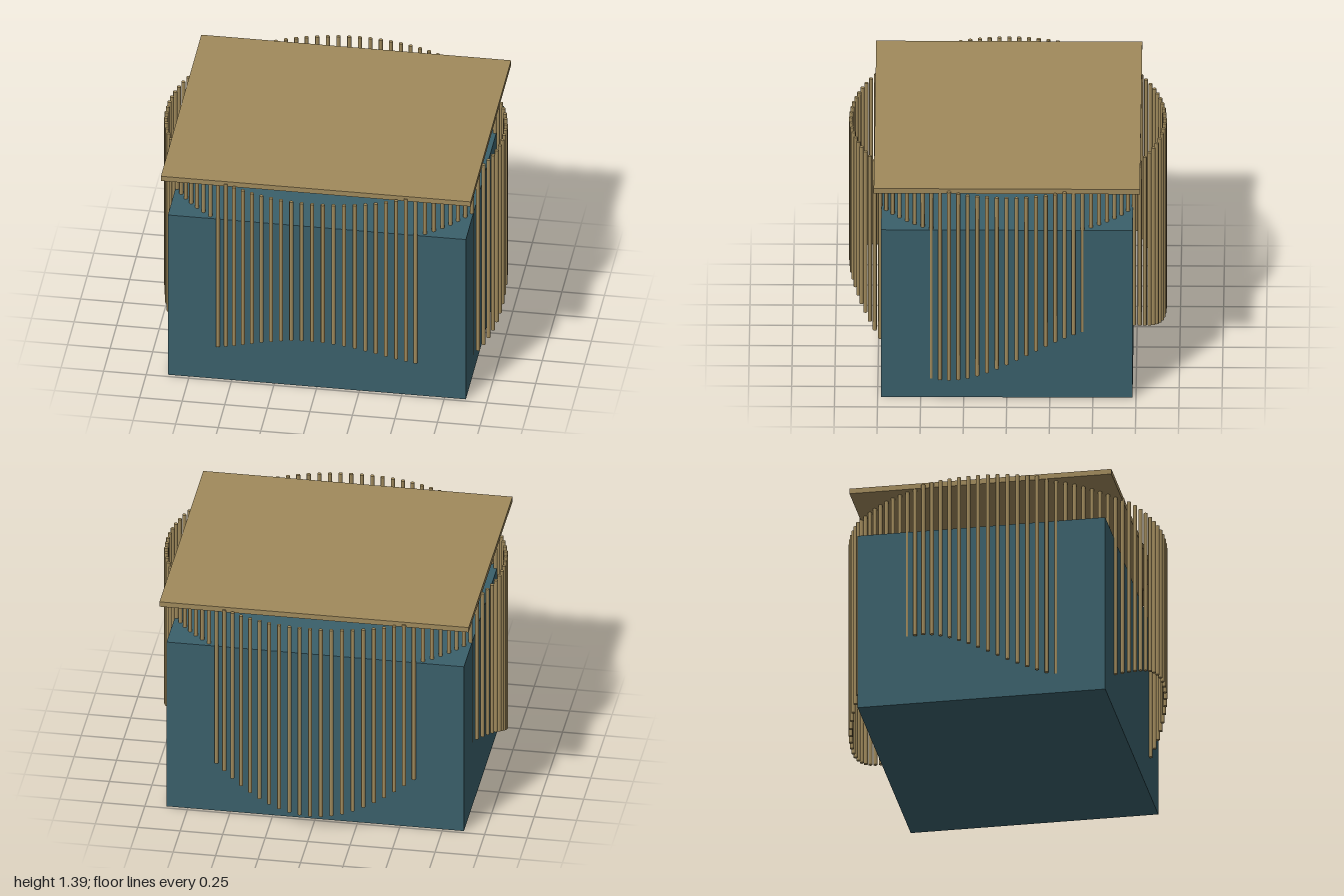
import * as THREE from 'three';

export function createModel() {
  const model = new THREE.Group();
  const teal = new THREE.MeshStandardMaterial({ color: 0x3a606b });
  const bronze = new THREE.MeshStandardMaterial({ color: 0xa08a5c });

  function box(name, w, d, y0, y1, material) {
    const mesh = new THREE.Mesh(new THREE.BoxGeometry(w, y1 - y0, d), material);
    mesh.name = name;
    mesh.position.y = (y0 + y1) / 2;
    model.add(mesh);
  }

  // Solid body and thin roof slab
  box('body', 1.75, 1.46, 0, 1.1, teal);
  box('roof', 1.82, 1.545, 1.358, 1.39, bronze);

  // Oval screen of slender rods whose lower ends rise and fall in three waves
  const screen = new THREE.Group();
  screen.name = 'rodScreen';
  const count = 100, radius = 0.012, top = 1.374;
  const rodGeometry = new THREE.CylinderGeometry(radius, radius, 1, 8);
  for (let i = 0; i < count; i++) {
    const angle = (i / count) * Math.PI * 2;
    const bottom = 0.277 + 0.155 * Math.cos(3 * angle);
    const rod = new THREE.Mesh(rodGeometry, bronze);
    rod.name = 'rod';
    rod.scale.y = top - bottom;
    rod.position.set(0.988 * Math.sin(angle), (top + bottom) / 2, 0.911 * Math.cos(angle));
    screen.add(rod);
  }
  model.add(screen);

  return model;
}
